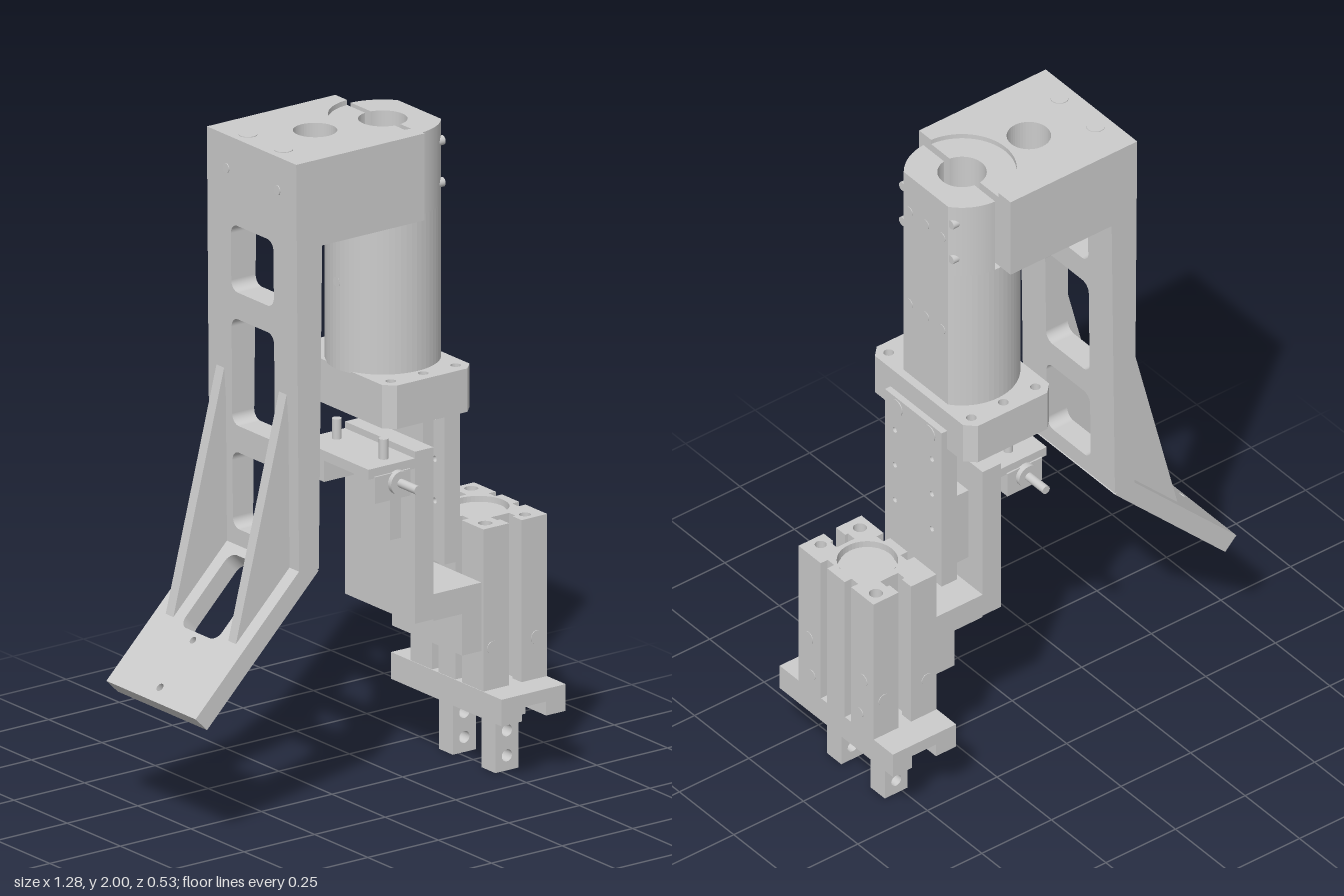
import * as THREE from 'three';

const grey = new THREE.MeshStandardMaterial({ color: 0xcccccc, side: THREE.DoubleSide });

function add(parent, name, geometry) {
  const mesh = new THREE.Mesh(geometry, grey);
  mesh.name = name;
  parent.add(mesh);
  return mesh;
}

// Box given by its limits on each axis
function box(parent, name, [x0, x1], [y0, y1], [z0, z1]) {
  const g = new THREE.BoxGeometry(x1 - x0, y1 - y0, z1 - z0);
  g.translate((x0 + x1) / 2, (y0 + y1) / 2, (z0 + z1) / 2);
  return add(parent, name, g);
}

// Round pin or bolt head centred on p, lying along the given axis
function pin(parent, name, r, length, p, axis) {
  const g = new THREE.CylinderGeometry(r, r, length, 24);
  if (axis === 'x') g.rotateZ(Math.PI / 2);
  if (axis === 'z') g.rotateX(Math.PI / 2);
  g.translate(...p);
  return add(parent, name, g);
}

const poly = pts => new THREE.Shape(pts.map(p => new THREE.Vector2(...p)));
const rect = (x0, x1, y0, y1) => poly([[x0, y0], [x1, y0], [x1, y1], [x0, y1]]);
const hole = (x, y, r) => new THREE.Path().absarc(x, y, r, 0, Math.PI * 2, true);

function roundRect(x0, x1, y0, y1, r) {
  const s = new THREE.Path();
  s.absarc(x1 - r, y1 - r, r, 0, Math.PI / 2, false);
  s.absarc(x0 + r, y1 - r, r, Math.PI / 2, Math.PI, false);
  s.absarc(x0 + r, y0 + r, r, Math.PI, Math.PI * 1.5, false);
  s.absarc(x1 - r, y0 + r, r, Math.PI * 1.5, Math.PI * 2, false);
  s.closePath();
  return s;
}

function extrude(shape, depth, holes = []) {
  shape.holes.push(...holes);
  return new THREE.ExtrudeGeometry(shape, { depth, bevelEnabled: false, curveSegments: 24 });
}

// Plan outline (x, -z) raised from y0 to y1
const raise = (shape, y0, y1, holes) => extrude(shape, y1 - y0, holes).rotateX(-Math.PI / 2).translate(0, y0, 0);
// Outline (-z, y) extruded from x0 to x1
const across = (shape, x0, x1, holes) => extrude(shape, x1 - x0, holes).rotateY(Math.PI / 2).translate(x0, 0, 0);

function bracket() {
  const g = new THREE.Group();
  g.name = 'mountingBracket';
  // upright with three windows, thinner towards the bottom
  const windows = [[1.54, 1.74], [1.14, 1.46], [0.83, 1.06]].map(([a, b]) => roundRect(-0.1, 0.1, a, b, 0.03));
  const upright = across(rect(-0.21, 0.21, 0.775, 2), -0.285, -0.19, windows);
  const p = upright.attributes.position;
  for (let i = 0; i < p.count; i++) {
    const t = (2 - p.getY(i)) / 1.225;
    p.setX(i, p.getX(i) + (p.getX(i) < -0.24 ? 0.01 : -0.015) * t);
  }
  upright.computeVertexNormals();
  add(g, 'upright', upright);
  // sloping foot with slot and two screw holes
  const foot = extrude(rect(0, 0.56, -0.21, 0.21), 0.057,
    [roundRect(0.07, 0.325, -0.085, 0.085, 0.03), hole(0.35, 0, 0.011), hole(0.515, 0, 0.012)]);
  const d = Math.SQRT1_2;
  foot.applyMatrix4(new THREE.Matrix4().makeBasis(
    new THREE.Vector3(-d, -d, 0), new THREE.Vector3(0, 0, 1), new THREE.Vector3(-d, d, 0)).setPosition(-0.205, 0.77, 0));
  add(g, 'foot', foot);
  for (const s of [-1, 1]) {
    add(g, 'gusset', extrude(poly([[-0.285, 1.3], [-0.465, 0.59], [-0.25, 0.79]]), 0.036).translate(0, 0, s * 0.147 - 0.018));
    pin(g, 'topBolt', 0.027, 0.004, [-0.235, 2, s * 0.083], 'y');
    pin(g, 'rearBolt', 0.015, 0.004, [-0.285, 1.9, s * 0.12], 'x');
  }
  // clamp head: half-round bore, shallow counterbore on top
  const outline = r => {
    const s = new THREE.Shape();
    const a = Math.acos(-0.01 / r);
    s.moveTo(-0.2, -0.21);
    s.lineTo(0.17, -0.21);
    s.absarc(0.18, 0, r, -a, a - Math.PI * 2, true);
    s.lineTo(0.17, 0.21);
    s.lineTo(-0.2, 0.21);
    s.closePath();
    return s;
  };
  const bore = () => [hole(-0.06, 0, 0.063)];
  add(g, 'clampHead', raise(outline(0.07), 1.74, 1.985, bore()));
  add(g, 'clampHeadRim', raise(outline(0.155), 1.985, 2, bore()));
  return g;
}

function actuator() {
  const g = new THREE.Group();
  g.name = 'actuator';
  const R = 0.165, flat = Math.acos(0.13 / R), cut = Math.acos(0.01 / R), inner = Math.acos(0.01 / 0.07);
  const dShape = new THREE.Shape();
  dShape.absarc(0.18, 0, R, flat, Math.PI * 2 - flat, false);
  dShape.closePath();
  add(g, 'barrel', raise(dShape, 1.27, 1.74));
  // upper half of the barrel, outside the clamp
  const half = new THREE.Shape();
  half.absarc(0.18, 0, R, -cut, -flat, false);
  half.absarc(0.18, 0, R, flat, cut, false);
  half.absarc(0.18, 0, 0.07, inner, -inner, true);
  half.closePath();
  add(g, 'clampCap', raise(half, 1.74, 1.985));
  for (const z of [-0.075, 0, 0.075])
    for (const y of [1.53, 1.86]) pin(g, 'faceScrew', 0.015, 0.004, [0.31, y, z], 'x');
  for (const s of [-1, 1])
    for (const y of [1.8, 1.925]) pin(g, 'clampScrew', 0.014, 0.03, [0.293, y, s * 0.112], 'x');
  pin(g, 'rearScrew', 0.015, 0.01, [0.02, 1.53, 0], 'x');
  // flange with chamfered corners
  const c = 0.03, x0 = 0.025, x1 = 0.335, z = 0.232;
  const flange = poly([[x0 + c, -z], [x1 - c, -z], [x1, c - z], [x1, z - c], [x1 - c, z], [x0 + c, z], [x0, z - c], [x0, c - z]]);
  const holes = [];
  for (const x of [0.065, 0.18, 0.295]) for (const s of [-1, 1]) holes.push(hole(x, s * 0.19, 0.015));
  add(g, 'flange', raise(flange, 1.145, 1.275, holes));
  return g;
}

function slide() {
  const g = new THREE.Group();
  g.name = 'slideUnit';
  const holes = [];
  for (const s of [-1, 1]) {
    for (const y of [0.84, 0.965, 1.09]) holes.push(hole(s * 0.085, y, 0.009));
    pin(g, 'plateBolt', 0.026, 0.006, [0.355, 1.178, s * 0.075], 'x');
  }
  add(g, 'slidePlate', across(rect(-0.13, 0.13, 0.66, 1.21), 0.3, 0.355, holes));
  box(g, 'rail', [0.262, 0.3], [0.68, 1.145], [-0.08, 0.08]);
  box(g, 'railCarriage', [0.235, 0.285], [0.69, 0.93], [-0.1, 0.1]);
  box(g, 'carriagePlate', [0.17, 0.235], [0.52, 1.035], [-0.165, 0.165]);
  box(g, 'rearPlate', [0.13, 0.17], [0.76, 1.0], [-0.1, 0.1]);
  // stops with adjusting pins
  box(g, 'stopBridge', [0.005, 0.17], [0.985, 1.015], [-0.165, 0.165]);
  for (const s of [-1, 1]) {
    const x = 0.095 + s * 0.01;
    box(g, 'stopBlock', [0.025, 0.15], [0.91, 0.99], [s * 0.12 - 0.05, s * 0.12 + 0.05]);
    pin(g, 'stopCollar', 0.035, 0.02, [x, 0.96, s * 0.175], 'z');
    pin(g, 'sidePin', 0.013, 0.1, [x, 0.96, s * 0.215], 'z');
    pin(g, 'uprightPin', 0.014, 0.07, [0.1, 1.04, s * 0.11], 'y');
  }
  // arm reaching to the gripper
  box(g, 'arm', [0.235, 0.405], [0.515, 0.595], [-0.165, 0.165]);
  box(g, 'armPad', [0.337, 0.405], [0.39, 0.585], [-0.165, 0.165]);
  return g;
}

function gripper() {
  const g = new THREE.Group();
  g.name = 'gripper';
  // body section: T-slots front and back, two narrow grooves on each side
  const W = 0.113, D = 0.172;
  const quarter = [[W, 0], [W, 0.04], [W - 0.025, 0.04], [W - 0.025, 0.07], [W, 0.07], [W, D],
    [0.022, D], [0.022, 0.13], [0.032, 0.13], [0.032, 0.1]];
  const mirrorX = quarter.map(([x, z]) => [-x, z]).reverse();
  const upper = [...quarter, ...mirrorX];
  const section = [...upper, ...upper.slice(1, -1).reverse().map(([x, z]) => [x, -z])]
    .map(([x, z]) => [x + 0.52, z]);
  const bolts = () => [hole(0.595, 0.135, 0.02), hole(0.445, -0.13, 0.02), hole(0.58, -0.138, 0.017)];
  add(g, 'body', raise(poly(section), 0.27, 0.725));
  add(g, 'bodyTop', raise(poly(section), 0.725, 0.755, [hole(0.52, 0, 0.087), ...bolts()]));
  pin(g, 'piston', 0.08, 0.02, [0.52, 0.73, 0], 'y');
  for (const s of [-1, 1]) {
    for (const x of [0.44, 0.595]) pin(g, 'sideScrew', 0.02, 0.004, [x, 0.395, s * D], 'z');
    pin(g, 'faceScrew', 0.02, 0.004, [0.633, 0.455, s * 0.125], 'x');
    pin(g, 'lowerFaceScrew', 0.016, 0.004, [0.633, 0.33, s * 0.11], 'x');
  }
  // base with a jaw channel underneath
  const base = poly([[0.405, 0.19], [0.477, 0.19], [0.477, 0.232], [0.563, 0.232], [0.563, 0.19], [0.632, 0.19],
    [0.632, 0.27], [0.405, 0.27]]);
  add(g, 'jawBase', extrude(base, 0.52).translate(0, 0, -0.26));
  for (const s of [-1, 1]) {
    const a = s * 0.003, b = s * 0.165;
    box(g, 'jawSlide', [0.479, 0.561], [0.17, 0.232], [Math.min(a, b), Math.max(a, b)]);
    const finger = extrude(rect(0.479, 0.561, 0, 0.2), 0.065, [hole(0.52, 0.045, 0.018), hole(0.52, 0.12, 0.018)]);
    add(g, 'finger', finger.translate(0, 0, s * 0.1 - 0.0325));
  }
  return g;
}

export function createModel() {
  const model = new THREE.Group();
  model.name = 'gripperAssembly';
  model.add(bracket(), actuator(), slide(), gripper());
  return model;
}
